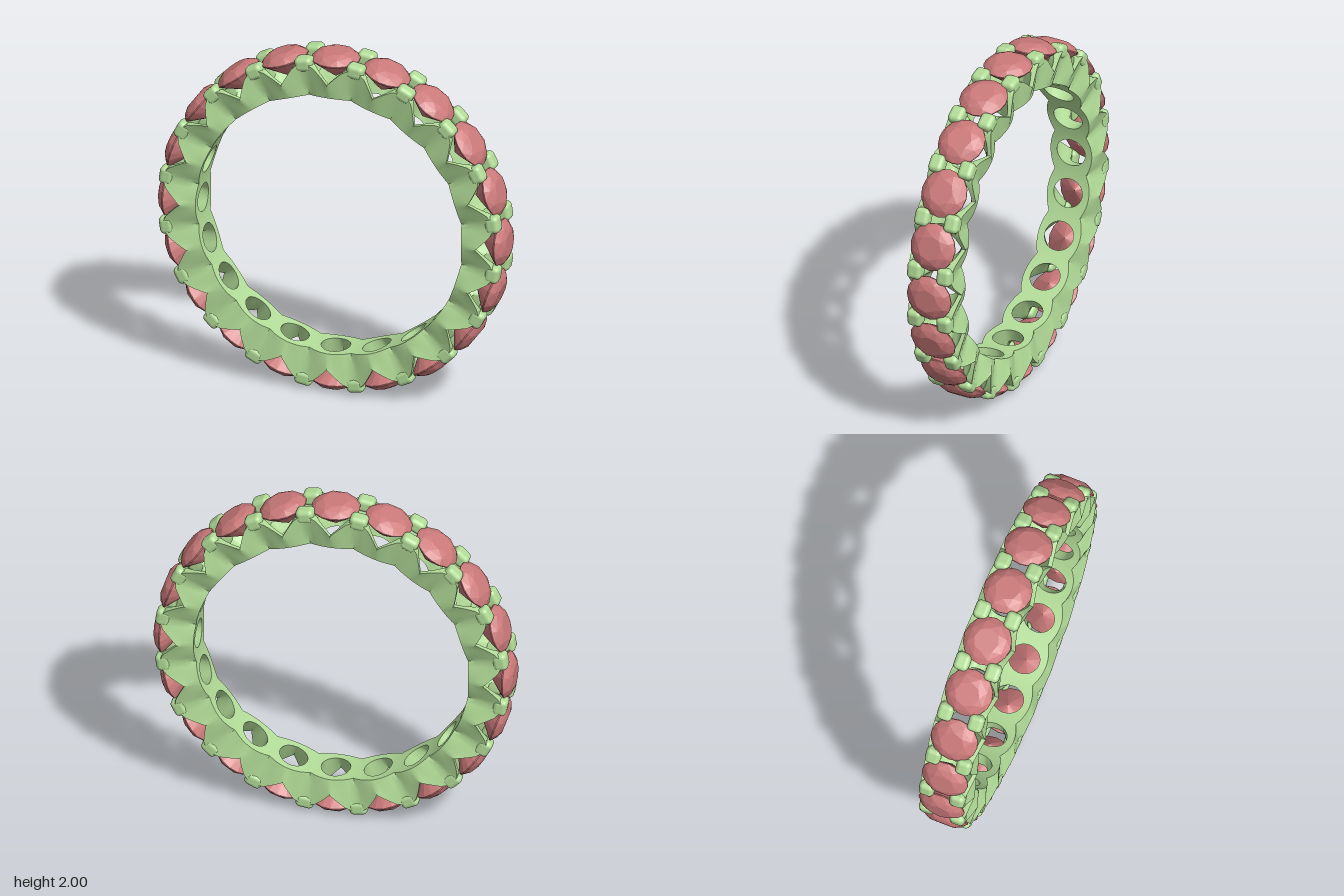
import * as THREE from 'three';
import { toCreasedNormals } from 'three/addons/utils/BufferGeometryUtils.js';
import { RoundedBoxGeometry } from 'three/addons/geometries/RoundedBoxGeometry.js';
import { ConvexGeometry } from 'three/addons/geometries/ConvexGeometry.js';

const COUNT = 20;                    // stones around the ring
const STEP = (Math.PI * 2) / COUNT;
const HALF = STEP / 2;
const INNER = 0.765;                 // finger radius
const { lerp, smoothstep } = THREE.MathUtils;

// Band height (radius): a V notch under each stone, rising to a post between stones
function topRadius(theta, z) {
  const t = Math.min(1, Math.abs(theta) / HALF);
  const rise = 0.1 * Math.min(1, t / 0.68);
  return 0.852 + rise * smoothstep(Math.abs(z), 0.04, 0.085);
}

// Cross-section through the wall around one stone's hole, in direction phi.
// Returns [theta, radius, z] points: inner face, side, top, hole wall.
function wallSection(phi) {
  const c = Math.cos(phi), s = Math.sin(phi);
  const m = Math.max(Math.abs(c), Math.abs(s));
  const u = c / m, v = s / m, t = Math.abs(u);
  const edge = u * HALF;
  const zBottom = v * (0.125 - 0.03 * t * t);
  const zTop = v * (0.15 - 0.025 * t);
  const holeBottom = [c * 0.08 / INNER, s * 0.085];
  const holeTop = [c * 0.112 / 0.86, s * 0.125];
  const pts = [];
  for (let i = 0; i <= 4; i++) {
    const k = i / 4;
    pts.push([lerp(holeBottom[0], edge, k), INNER, lerp(holeBottom[1], zBottom, k)]);
  }
  const outerTop = topRadius(edge, zTop);
  for (let i = 1; i <= 4; i++) {
    const k = i / 4;
    pts.push([edge, lerp(INNER, outerTop, k), lerp(zBottom, zTop, k)]);
  }
  for (let i = 1; i <= 5; i++) {
    const k = i / 5;
    const th = lerp(edge, holeTop[0], k), z = lerp(zTop, holeTop[1], k);
    pts.push([th, topRadius(th, z), z]);
  }
  const innerTop = topRadius(...holeTop);
  for (let i = 1; i <= 4; i++) {
    const k = i / 4;
    pts.push([lerp(holeTop[0], holeBottom[0], k), lerp(innerTop, INNER, k),
      lerp(holeTop[1], holeBottom[1], k)]);
  }
  return pts;
}

// Pierced band: the same cell repeated round the ring
function bandGeometry() {
  const N = 48;
  const sections = [];
  for (let j = 0; j <= N; j++) sections.push(wallSection((j / N) * Math.PI * 2));
  const positions = [];
  for (let cell = 0; cell < COUNT; cell++) {
    const put = ([th, r, z]) => {
      const a = th + cell * STEP;
      positions.push(r * Math.sin(a), r * Math.cos(a), z);
    };
    for (let j = 0; j < N; j++) {
      const p = sections[j], q = sections[j + 1];
      const mid = ((j + 0.5) / N) * Math.PI * 2;
      const joinsNeighbour = Math.abs(Math.cos(mid)) > Math.abs(Math.sin(mid));
      for (let i = 0; i < p.length - 1; i++) {
        if (joinsNeighbour && i >= 4 && i < 8) continue; // open where cells meet
        [p[i], p[i + 1], q[i + 1], p[i], q[i + 1], q[i]].forEach(put);
      }
    }
  }
  const geo = new THREE.BufferGeometry();
  geo.setAttribute('position', new THREE.Float32BufferAttribute(positions, 3));
  // enlarged while creasing so that close vertices stay distinct
  geo.scale(100, 100, 100);
  const creased = toCreasedNormals(geo, 0.75);
  creased.scale(0.01, 0.01, 0.01);
  return creased;
}

// Round faceted stone, axis along y, placed at its ring radius
function stoneGeometry() {
  const pts = [new THREE.Vector3(0, 0.845, 0)];
  const ring = (n, radius, y, turn = 0) => {
    for (let i = 0; i < n; i++) {
      const a = ((i + turn) / n) * Math.PI * 2;
      pts.push(new THREE.Vector3(Math.cos(a) * radius, y, Math.sin(a) * radius));
    }
  };
  ring(8, 0.07, 1.0);            // table
  ring(8, 0.108, 0.984, 0.5);    // crown
  ring(16, 0.134, 0.957);        // girdle
  ring(16, 0.134, 0.951);
  ring(8, 0.062, 0.892, 0.5);    // pavilion
  return new ConvexGeometry(pts);
}

export function createModel() {
  const model = new THREE.Group();
  model.name = 'stoneRing';
  const metal = new THREE.MeshStandardMaterial({ color: 0xb2dc98 });
  const gem = new THREE.MeshStandardMaterial({ color: 0xcc7a7a, flatShading: true });

  const ring = new THREE.Group();
  ring.name = 'ring';
  ring.position.y = 1;
  model.add(ring);

  const band = new THREE.Mesh(bandGeometry(), metal);
  band.name = 'band';
  ring.add(band);

  const stoneGeo = stoneGeometry();
  const prongGeo = new RoundedBoxGeometry(0.1, 0.08, 0.085, 3, 0.026);
  for (let i = 0; i < COUNT; i++) {
    const stone = new THREE.Mesh(stoneGeo, gem);
    stone.name = 'stone';
    stone.rotation.z = -i * STEP;
    ring.add(stone);

    // Pair of prongs between this stone and the next
    const pair = new THREE.Group();
    pair.name = 'prongPair';
    pair.rotation.z = -(i + 0.5) * STEP;
    for (const side of [-1, 1]) {
      const prong = new THREE.Mesh(prongGeo, metal);
      prong.name = 'prong';
      prong.position.set(0, 0.949, side * 0.089);
      pair.add(prong);
    }
    ring.add(pair);
  }
  return model;
}
